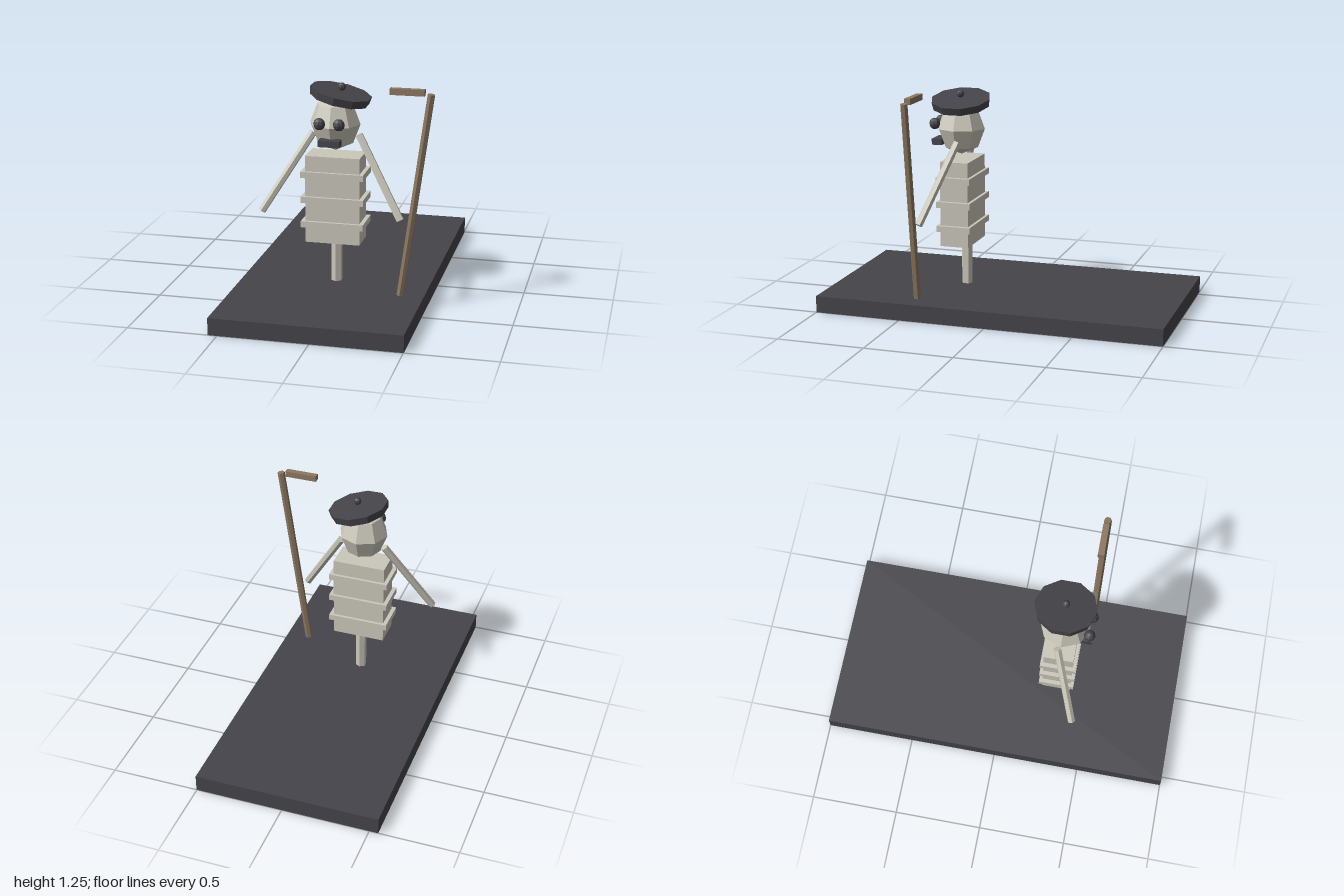
import * as THREE from 'three';

const CX = -0.024; // symmetry line of the figure
const CZ = 0.3;

export function createModel() {
  const model = new THREE.Group();
  const makeMat = (name, color) => {
    const m = new THREE.MeshStandardMaterial({ color });
    m.name = name;
    return m;
  };
  const charcoal = makeMat('charcoal', 0x45444a);
  const bone = makeMat('bone', 0xcac7ba);
  const wood = makeMat('wood', 0x8c7862);

  const add = (name, geometry, material, x, y, z) => {
    let g = geometry.index ? geometry.toNonIndexed() : geometry;
    g.computeVertexNormals(); // faceted look
    const mesh = new THREE.Mesh(g, material);
    mesh.name = name;
    mesh.position.set(x, y, z);
    model.add(mesh);
    return mesh;
  };
  const box = (name, w, h, d, material, x, y, z) =>
    add(name, new THREE.BoxGeometry(w, h, d), material, x, y, z);
  const ball = (name, r, ws, hs, material, x, y, z) =>
    add(name, new THREE.SphereGeometry(r, ws, hs), material, x, y, z);

  // Six-sided rod between two points
  const rod = (name, from, to, r, material) => {
    const a = new THREE.Vector3(...from);
    const b = new THREE.Vector3(...to);
    const dir = b.clone().sub(a);
    const mid = a.clone().add(b).multiplyScalar(0.5);
    const mesh = add(name, new THREE.CylinderGeometry(r, r, dir.length(), 6), material, mid.x, mid.y, mid.z);
    mesh.quaternion.setFromUnitVectors(new THREE.Vector3(0, 1, 0), dir.normalize());
    return mesh;
  };

  // Base slab
  box('base', 1.053, 0.096, 2, charcoal, CX, 0.048, 0);

  // Spine, torso and rib bands
  rod('spine', [CX, 0.094, 0.275], [CX, 0.35, 0.275], 0.032, bone);
  box('torso', 0.305, 0.493, 0.166, bone, CX, 0.59, CZ);
  for (const y of [0.449, 0.59, 0.732]) box('rib', 0.351, 0.035, 0.2, bone, CX, y, CZ);

  // Head, eyes and mouth
  const head = ball('head', 0.141, 8, 4, bone, CX, 1.012, 0.305);
  head.scale.y = 1.08;
  for (const s of [-1, 1]) ball('eye', 0.033, 8, 6, charcoal, CX + s * 0.054, 1.037, 0.447);
  box('mouth', 0.119, 0.035, 0.06, charcoal, CX, 0.931, 0.435);

  // Tilted cap with a bobble
  const cap = add('cap', new THREE.CylinderGeometry(0.172, 0.164, 0.044, 10), charcoal, 0.003, 1.166, 0.297);
  cap.rotation.z = -0.217;
  ball('bobble', 0.022, 8, 6, charcoal, 0.012, 1.214, 0.297);

  // Arms reaching down and forward
  for (const s of [-1, 1]) {
    rod('arm', [CX + s * 0.129, 0.948, 0.286], [CX + s * 0.389, 0.519, 0.425], 0.022, bone);
  }

  // Leaning cane with its handle
  rod('cane', [0.37, 0.096, 0.437], [0.527, 1.229, 0.437], 0.021, wood);
  box('caneHandle', 0.187, 0.034, 0.034, wood, 0.399, 1.235, 0.432);

  return model;
}
